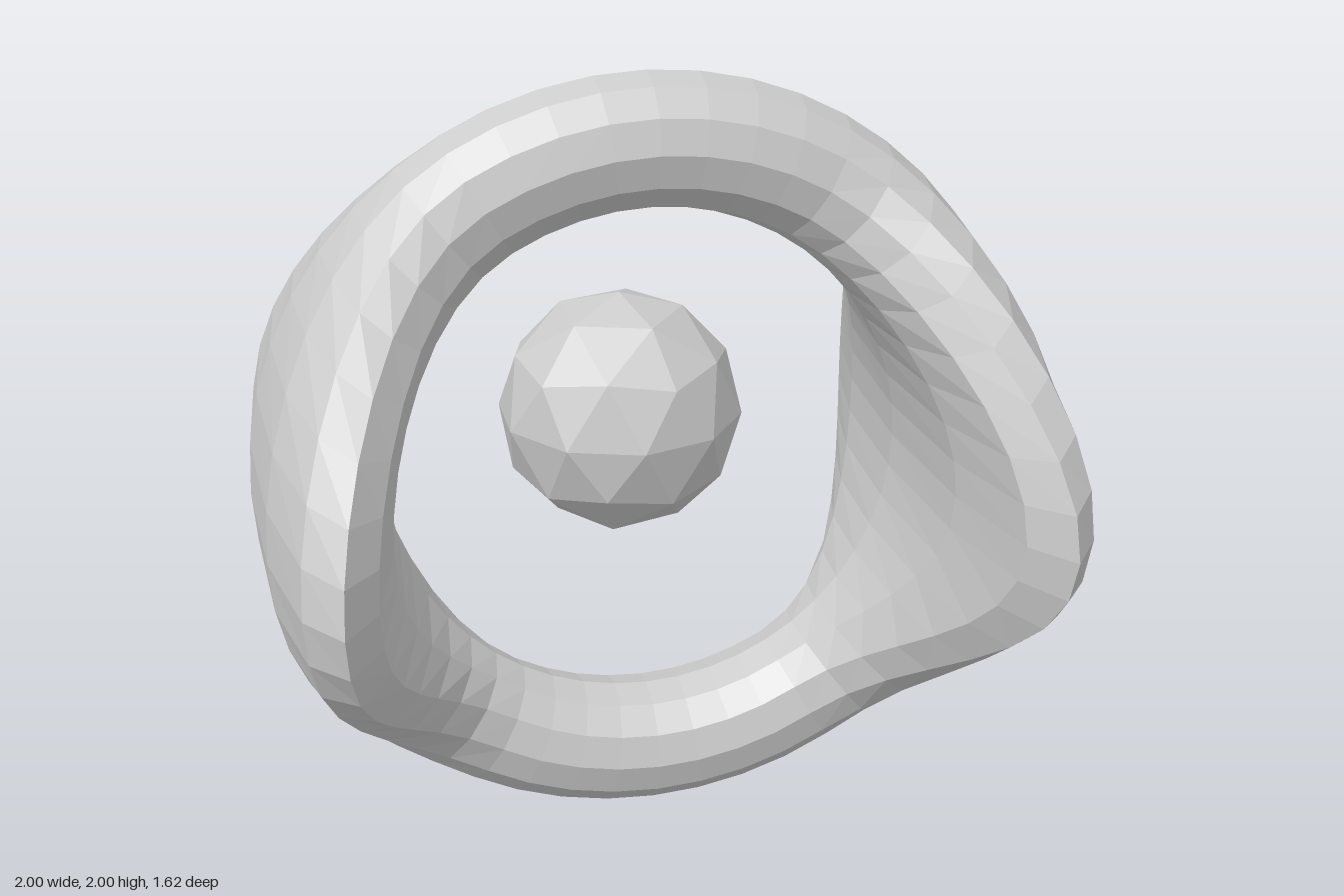
import * as THREE from 'three';

const material = new THREE.MeshStandardMaterial({ color: 0xcccccc, flatShading: true });

// Ring whose tube flares along z towards its left and right sides
function makeRing() {
  const R = 0.833, r = 0.167;
  const geometry = new THREE.TorusGeometry(R, r, 12, 48);
  const pos = geometry.attributes.position;
  for (let i = 0; i < pos.count; i++) {
    // angle away from the nearest side, 0 at the sides and 90 degrees at top and bottom
    const a = Math.atan2(Math.abs(pos.getY(i)), Math.abs(pos.getX(i)));
    const flare = a < Math.PI / 3 ? Math.cos(1.5 * a) ** 2 : 0;
    pos.setZ(i, pos.getZ(i) * (1 + 3.86 * flare));
  }
  geometry.computeVertexNormals();
  const ring = new THREE.Mesh(geometry, material);
  ring.name = 'flaredRing';
  ring.position.y = 1;
  return ring;
}

// Faceted ball with a corner straight up, set towards the back of the opening
function makeBall() {
  const geometry = new THREE.IcosahedronGeometry(0.333, 1);
  geometry.rotateX(-Math.atan((1 + Math.sqrt(5)) / 2));
  geometry.rotateY(Math.PI / 2);
  const ball = new THREE.Mesh(geometry, material);
  ball.name = 'ball';
  ball.position.set(0, 1.003, -0.333);
  return ball;
}

export function createModel() {
  const model = new THREE.Group();
  model.name = 'ringWithBall';
  model.add(makeRing(), makeBall());
  return model;
}
